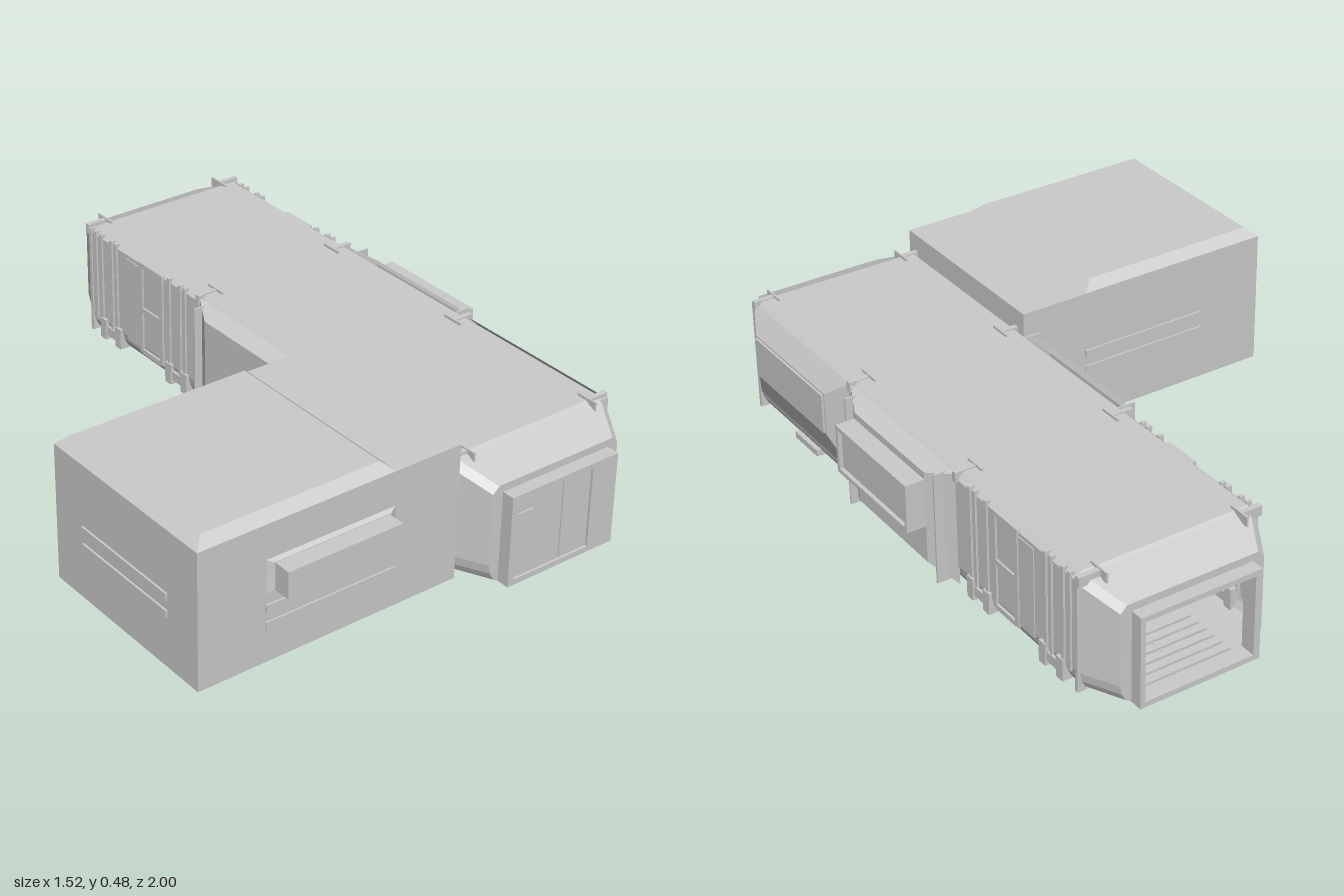
import * as THREE from 'three';

const mat = new THREE.MeshStandardMaterial({ color: 0xcccccc, flatShading: true, side: THREE.DoubleSide });
const CX = 0.37; // centre line of the long hall

function add(parent, name, geo) {
  const m = new THREE.Mesh(geo, mat);
  m.name = name;
  parent.add(m);
  return m;
}

// box given by its min and max on each axis
function box(parent, name, x0, x1, y0, y1, z0, z1) {
  const m = add(parent, name, new THREE.BoxGeometry(Math.abs(x1 - x0), y1 - y0, z1 - z0));
  m.position.set((x0 + x1) / 2, (y0 + y1) / 2, (z0 + z1) / 2);
  return m;
}

// skin between closed rings of points, with an optional cap on the last ring
function loft(rings, cap = false) {
  const pos = [], n = rings[0].length;
  const tri = (a, b, c) => pos.push(...a, ...b, ...c);
  for (let r = 0; r < rings.length - 1; r++) {
    const a = rings[r], b = rings[r + 1];
    for (let i = 0; i < n; i++) {
      const j = (i + 1) % n;
      tri(a[i], a[j], b[j]);
      tri(a[i], b[j], b[i]);
    }
  }
  const last = rings[rings.length - 1];
  if (cap) for (let i = 1; i < n - 1; i++) tri(last[0], last[i], last[i + 1]);
  const g = new THREE.BufferGeometry();
  g.setAttribute('position', new THREE.Float32BufferAttribute(pos, 3));
  g.computeVertexNormals();
  return g;
}

// hall cross-section: rounded foot, upright wall, bevelled roof edge
function section(w, top) {
  const half = [[w - 0.035, 0.028], [w - 0.018, 0.04], [w - 0.006, 0.062], [w, 0.09], [w, top - 0.02], [w - 0.02, top]];
  return [...half, ...half.slice().reverse().map(([x, y]) => [-x, y])].map(([x, y]) => [x + CX, y]);
}

// sloping bulge on a side wall: s = 1 for +x, -1 for -x; rectangles are [z0, z1, y0, y1]
function bulge(parent, name, s, base, top, out) {
  const ring = ([z0, z1, y0, y1], d) => {
    const x = CX + s * d;
    const p = [[x, y0, z1], [x, y0, z0], [x, y1, z0], [x, y1, z1]];
    return s > 0 ? p : p.reverse();
  };
  add(parent, name, loft([ring(base, 0.278), ring(top, out)], true));
}

// flat end plate with a doorway cut out of it
function ringPlate(points, depth) {
  const shape = new THREE.Shape(points.map(([x, y]) => new THREE.Vector2(x, y)));
  const hole = [[0.2, 0.045], [0.2, 0.295], [0.545, 0.295], [0.545, 0.045]];
  shape.holes.push(new THREE.Path(hole.map(([x, y]) => new THREE.Vector2(x, y))));
  return new THREE.ExtrudeGeometry(shape, { depth, bevelEnabled: false });
}

function buildHall() {
  const hall = new THREE.Group();
  hall.name = 'hall';
  const profile = [[0.96, 0.225, 0.335], [0.85, 0.28, 0.385], [0.84, 0.28, 0.392],
    [-0.84, 0.28, 0.392], [-0.85, 0.28, 0.385], [-0.96, 0.225, 0.335]];
  add(hall, 'hallShell', loft(profile.map(([z, w, t]) => section(w, t).map(([x, y]) => [x, y, z]))));
  box(hall, 'keelPlate', CX - 0.004, CX + 0.004, 0, 0.03, -0.845, 0.845);

  // end walls and door frames
  const frame = [[0.18, 0.028], [0.56, 0.028], [0.56, 0.312], [0.18, 0.312]];
  for (const s of [1, -1]) {
    add(hall, 'endWall', ringPlate(section(0.225, 0.335), 0.01)).position.z = s > 0 ? 0.95 : -0.96;
    add(hall, 'doorFrame', ringPlate(frame, 0.045)).position.z = s > 0 ? 0.955 : -1;
  }
  // closed front door
  box(hall, 'frontDoorLeaf', 0.19, 0.368, 0.035, 0.3, 0.965, 0.992);
  box(hall, 'frontDoorLeaf', 0.372, 0.55, 0.035, 0.3, 0.965, 0.992);
  box(hall, 'frontDoorPanel', 0.47, 0.558, 0.03, 0.305, 0.985, 1);
  box(hall, 'frontDoorWindow', 0.2, 0.26, 0.14, 0.25, 0.985, 0.998);
  // ribs across the inner floor
  for (let i = 0; i < 6; i++) box(hall, 'floorRib', 0.22, 0.52, 0.028, 0.036, -0.93 + i * 0.035, -0.915 + i * 0.035);

  for (const s of [1, -1]) {
    const X = (d) => CX + s * d;
    // roof brackets at the frame joints
    for (const z of [-0.86, -0.28, 0.28, 0.84]) {
      box(hall, 'roofBracket', X(0.216), X(0.222), 0.37, 0.4, z - 0.035, z + 0.035);
      box(hall, 'roofJoint', X(0.222), X(0.287), 0.365, 0.396, z - 0.008, z + 0.008);
    }
    // corner ribs
    for (const z of [-0.85, 0.85]) box(hall, 'cornerRib', X(0.255), X(0.284), 0.03, 0.385, z - 0.006, z + 0.006);

    // middle window bay with thin fins
    bulge(hall, 'windowBay', s, [-0.28, 0.28, 0.03, 0.385], [-0.19, 0.18, 0.07, 0.36], 0.325);
    for (const z of [-0.24, 0.23]) box(hall, 'bayFin', X(0.27), X(0.327), 0.03, 0.38, z - 0.003, z + 0.003);

    // side door with two panes in a frame
    const d = 0.286;
    for (const z of [-0.47, -0.575]) box(hall, 'sideDoorPost', X(0.27), X(d), 0.07, 0.38, z - 0.008, z + 0.008);
    for (const y of [0.075, 0.22, 0.372]) box(hall, 'sideDoorRail', X(0.27), X(d), y - 0.008, y + 0.008, -0.57, -0.475);
    box(hall, 'sideDoorPanel', X(0.27), X(0.283), 0.08, 0.36, -0.655, -0.585);
    // wall pilasters
    for (const z of [-0.35, -0.375, -0.43, -0.71, -0.735, -0.79, -0.82])
      box(hall, 'pilaster', X(0.27), X(0.286), 0.08, 0.388, z - 0.006, z + 0.006);
    // paired foot clamps
    for (const z of [-0.39, -0.74]) {
      box(hall, 'footClamp', X(0.25), X(0.285), 0.045, 0.075, z - 0.055, z + 0.055);
      for (const k of [-0.04, 0.04]) box(hall, 'footClampLug', X(0.25), X(0.29), 0.03, 0.098, z + k - 0.015, z + k + 0.015);
    }
  }

  // projecting window box: hollow frame with a pane set back
  const x0 = 0.685, x1 = 0.755;
  box(hall, 'windowBoxTop', x0, x1, 0.325, 0.338, -0.19, 0.185);
  box(hall, 'windowBoxBottom', x0, x1, 0.187, 0.2, -0.19, 0.185);
  box(hall, 'windowBoxSide', x0, x1, 0.2, 0.325, -0.19, -0.178);
  box(hall, 'windowBoxSide', x0, x1, 0.2, 0.325, 0.173, 0.185);
  box(hall, 'windowPane', x0, x1 - 0.012, 0.2, 0.325, -0.178, 0.173);

  // sloping front side bay
  bulge(hall, 'frontSideBay', 1, [0.285, 0.85, 0.08, 0.385], [0.365, 0.77, 0.19, 0.325], 0.32);
  box(hall, 'frontBayPanel', 0.675, 0.697, 0.195, 0.32, 0.37, 0.765);
  box(hall, 'frontBayFoot', 0.61, 0.65, 0.025, 0.045, 0.51, 0.64);
  return hall;
}

function buildAnnex() {
  const annex = new THREE.Group();
  annex.name = 'annex';
  box(annex, 'annexBody', -0.757, 0.095, 0.028, 0.45, 0.242, 0.88);
  // bevelled roof cap
  const ring = (x0, x1, z0, z1, y) => [[x0, y, z1], [x1, y, z1], [x1, y, z0], [x0, y, z0]];
  add(annex, 'roofCap', loft([ring(-0.757, -0.122, 0.242, 0.88, 0.449), ring(-0.725, -0.157, 0.272, 0.85, 0.478)], true));
  // raised frame under the floor
  for (const [a, b] of [[-0.74, -0.72], [0.03, 0.05]]) box(annex, 'floorFrame', a, b, 0.022, 0.03, 0.28, 0.84);
  for (const [a, b] of [[0.28, 0.3], [0.82, 0.84]]) box(annex, 'floorFrame', -0.72, 0.03, 0.022, 0.03, a, b);

  // front vent box on a flared base
  const flare = (x0, x1, y0, y1, z) => [[x0, y0, z], [x1, y0, z], [x1, y1, z], [x0, y1, z]];
  add(annex, 'ventBoxBase', loft([flare(-0.545, -0.12, 0.238, 0.345, 0.879), flare(-0.525, -0.145, 0.248, 0.335, 0.89)], true));
  box(annex, 'ventBox', -0.522, -0.15, 0.25, 0.333, 0.88, 0.944);
  // paired vent slats on three walls
  for (const y of [0.196, 0.143]) {
    box(annex, 'frontSlat', -0.545, -0.12, y - 0.012, y + 0.012, 0.875, 0.886);
    box(annex, 'backSlat', -0.545, -0.12, y + 0.04, y + 0.064, 0.236, 0.25);
    box(annex, 'endSlat', -0.763, -0.75, y + 0.04, y + 0.064, 0.37, 0.75);
  }
  return annex;
}

export function createModel() {
  const model = new THREE.Group();
  model.name = 'building';
  model.add(buildHall(), buildAnnex());
  return model;
}
